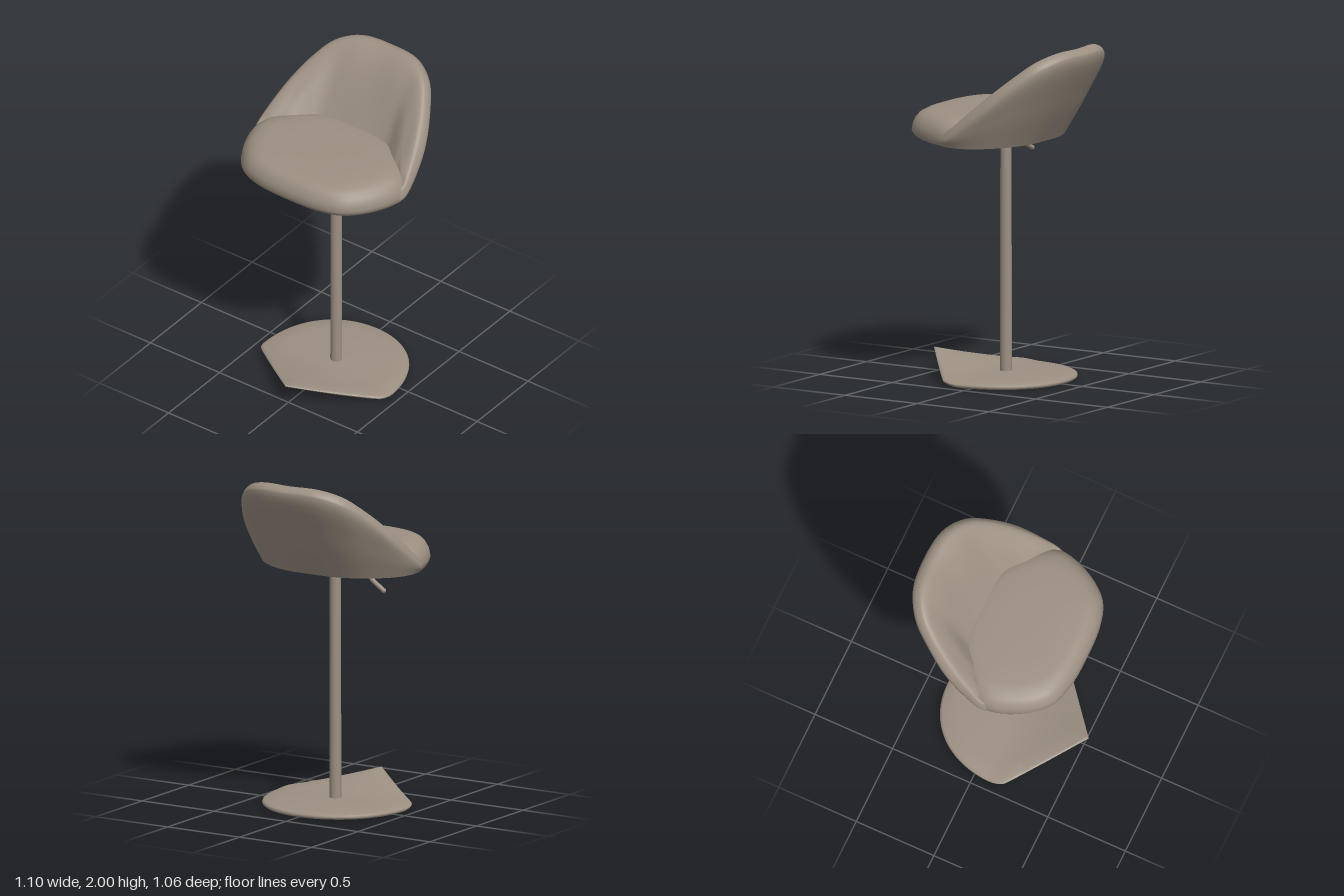
import * as THREE from 'three';
import { toCreasedNormals } from 'three/addons/utils/BufferGeometryUtils.js';

const V = (x, y, z) => new THREE.Vector3(x, y, z);
const mirrorX = (p) => V(-p.x, p.y, p.z);

// Skin a grid of points; each row runs sideways, rows follow one another.
function loft(rows, closed) {
  const n = rows[0].length, pos = [], index = [];
  rows.forEach((row) => row.forEach((p) => pos.push(p.x, p.y, p.z)));
  for (let r = 0; r < rows.length - 1; r++) {
    for (let i = 0; i < (closed ? n : n - 1); i++) {
      const a = r * n + i, b = r * n + ((i + 1) % n), c = a + n, d = b + n;
      index.push(a, b, d, a, d, c);
    }
  }
  const g = new THREE.BufferGeometry();
  g.setAttribute('position', new THREE.Float32BufferAttribute(pos, 3));
  g.setIndex(index);
  g.computeVertexNormals();
  return g;
}

// Rings of one outline, scaled about (0, cz); height(scale-row, z) gives y.
function rings(outline, profile, cz, height) {
  return profile.map(([s, y]) => outline.map((p) => {
    const z = cz + (p.z - cz) * s;
    return V(p.x * s, height(y, z), z);
  }));
}

// Padded seat, flat underneath, with a rounded front edge.
function cushionGeometry() {
  const half = [[0.2, 0.507], [0.35, 0.46], [0.44, 0.37], [0.505, 0.25], [0.538, 0.12],
    [0.522, 0.04], [0.46, -0.05], [0.37, -0.14], [0.27, -0.2], [0.15, -0.235]].map(([x, z]) => V(x, 0, z));
  const pts = [V(0, 0, 0.518), ...half, V(0, 0, -0.24), ...half.slice().reverse().map(mirrorX)];
  const outline = new THREE.CatmullRomCurve3(pts, true).getPoints(72).slice(0, 72);
  const profile = [[0, 1.43], [0.5, 1.43], [0.92, 1.431], [0.965, 1.437], [0.99, 1.455], [1, 1.485],
    [0.985, 1.525], [0.95, 1.558], [0.9, 1.583], [0.83, 1.599], [0.72, 1.607], [0.4, 1.61], [0, 1.61]];
  const height = (y, z) => y + (y < 1.46 ? 0.055 * Math.max(0, z - 0.1) : 0);
  return toCreasedNormals(loft(rings(outline, profile, 0.12, height), true), 0.9);
}

// Wrapped backrest: stations run from the centre back round to the side tip.
function backrestGeometry() {
  const outerBottom = [[0, 1.43, -0.24], [0.15, 1.43, -0.235], [0.27, 1.43, -0.2], [0.37, 1.43, -0.14],
    [0.46, 1.43, -0.05], [0.51, 1.432, 0.05], [0.52, 1.437, 0.12], [0.49, 1.445, 0.21]];
  const rimOuter = [[0, 1.965, -0.533], [0.2, 1.96, -0.51], [0.34, 1.91, -0.43], [0.43, 1.82, -0.31],
    [0.505, 1.69, -0.16], [0.54, 1.56, 0], [0.546, 1.5, 0.09], [0.5, 1.475, 0.21]];
  const rimTop = [[0, 2, -0.475], [0.19, 1.997, -0.455], [0.315, 1.955, -0.385], [0.4, 1.865, -0.28],
    [0.47, 1.735, -0.13], [0.517, 1.607, 0.01], [0.528, 1.54, 0.09], [0.49, 1.49, 0.21]];
  const rimInner = [[0, 1.93, -0.375], [0.16, 1.93, -0.36], [0.26, 1.88, -0.31], [0.34, 1.795, -0.21],
    [0.405, 1.685, -0.09], [0.465, 1.588, 0.03], [0.5, 1.525, 0.09], [0.47, 1.49, 0.21]];
  const innerBottom = [[0, 1.58, -0.13], [0.17, 1.58, -0.13], [0.25, 1.58, -0.115], [0.32, 1.58, -0.06],
    [0.385, 1.575, 0], [0.45, 1.555, 0.035], [0.48, 1.5, 0.09], [0.45, 1.48, 0.2]];
  // Slight outward bulge between the bottom and the rim.
  const outerMid = outerBottom.map((b, i) => {
    const k = i < 7 ? 1.05 - 0.005 * i : 1;
    return [(b[0] + rimOuter[i][0]) / 2 * k, (b[1] + rimOuter[i][1]) / 2, (b[2] + rimOuter[i][2]) / 2 * k];
  });
  const lines = [outerBottom, outerMid, rimOuter, rimTop, rimInner, innerBottom].map((line) => {
    const p = line.map((c) => V(...c));
    return new THREE.CatmullRomCurve3([...p.slice().reverse(), ...p.slice(1).map(mirrorX)]).getPoints(70);
  });
  const columns = lines[0].map((_, i) => new THREE.CatmullRomCurve3(lines.map((l) => l[i])).getPoints(30));
  return loft(columns[0].map((_, r) => columns.map((c) => c[r])), false);
}

// Thin foot plate: rounded behind, pointed and swept upward in front.
function baseGeometry() {
  const s = new THREE.Shape();
  s.moveTo(0, 0.53);
  s.lineTo(0.425, 0.195);
  s.quadraticCurveTo(0.455, 0.165, 0.453, 0.09);
  s.bezierCurveTo(0.44, -0.2, 0.25, -0.38, 0, -0.38);
  const half = s.getSpacedPoints(40).map((p) => V(p.x, 0, p.y));
  const outline = [...half, ...half.slice(1, -1).reverse().map(mirrorX)];
  const profile = [[0, 0], [0.25, 0], [0.5, 0], [0.75, 0], [0.97, 0.001], [0.995, 0.008], [1, 0.016],
    [0.99, 0.024], [0.965, 0.029], [0.75, 0.034], [0.5, 0.039], [0.25, 0.043], [0, 0.045]];
  const height = (y, z) => {
    const t = Math.max(0, (z - 0.08) / 0.45);
    return y * (1 - 0.45 * Math.min(1, t)) + 0.124 * Math.pow(t, 1.4);
  };
  return toCreasedNormals(loft(rings(outline, profile, 0, height), true), 0.8);
}

export function createModel() {
  const model = new THREE.Group();
  model.name = 'barStool';
  const taupe = new THREE.MeshStandardMaterial({ color: 0x9c9082 });
  taupe.name = 'taupe';
  const add = (name, geometry, x = 0, y = 0, z = 0) => {
    const mesh = new THREE.Mesh(geometry, taupe);
    mesh.name = name;
    mesh.position.set(x, y, z);
    model.add(mesh);
    return mesh;
  };

  add('seatCushion', cushionGeometry());
  add('backrest', backrestGeometry());
  add('base', baseGeometry());
  add('post', new THREE.CylinderGeometry(0.033, 0.035, 1.41, 24), 0, 0.735, 0.03);

  // Height lever under the seat with a rounded grip end.
  const path = new THREE.CatmullRomCurve3([V(0, 1.43, 0.04), V(-0.1, 1.42, 0.07),
    V(-0.19, 1.395, 0.075), V(-0.25, 1.355, 0.065), V(-0.32, 1.315, 0.055)]);
  add('lever', new THREE.TubeGeometry(path, 24, 0.014, 10));
  add('leverTip', new THREE.SphereGeometry(0.0145, 12, 8), -0.32, 1.315, 0.055);
  add('leverBracket', new THREE.BoxGeometry(0.14, 0.012, 0.07), 0, 1.427, 0.04);
  return model;
}
